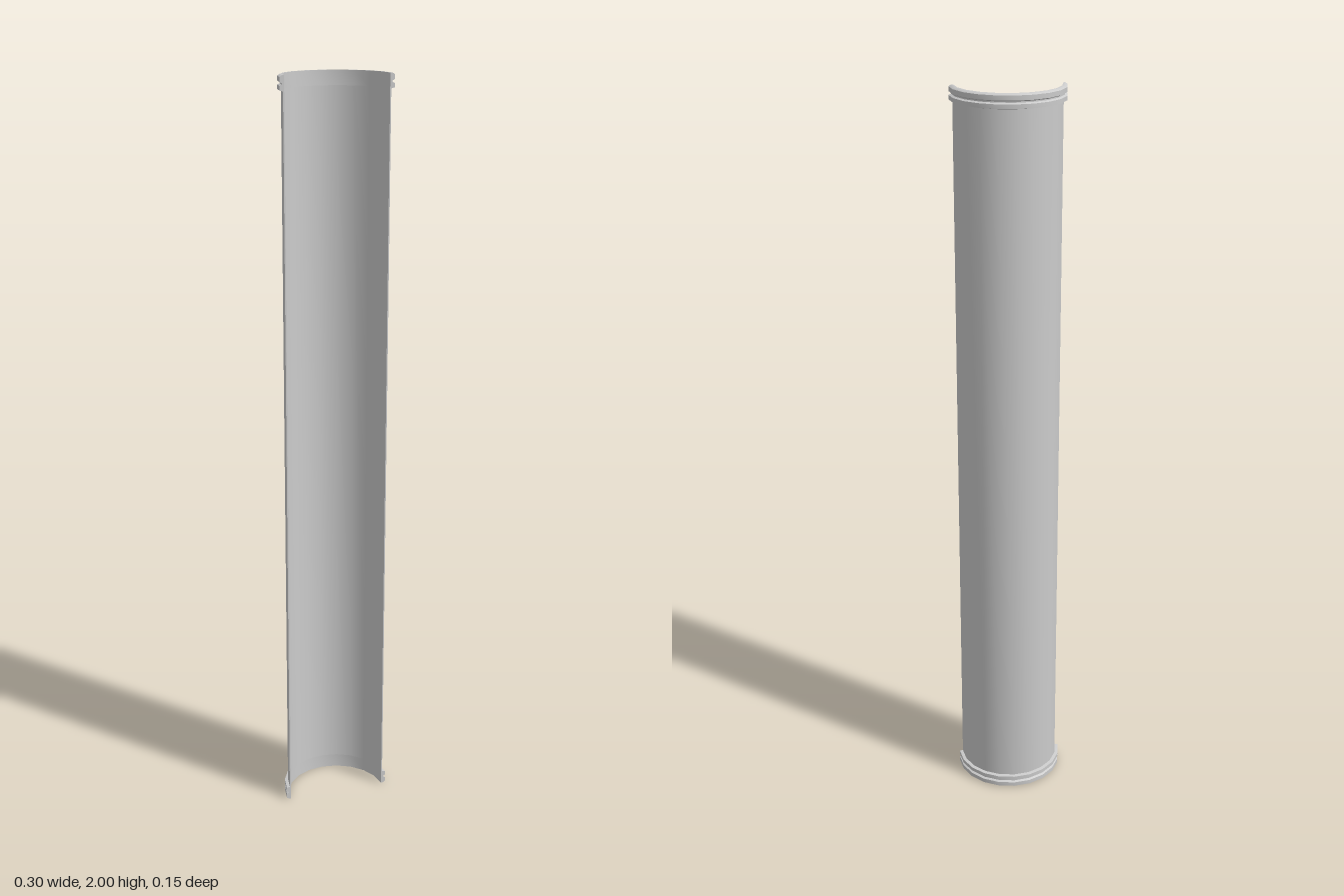
import * as THREE from 'three';
import { toCreasedNormals } from 'three/addons/utils/BufferGeometryUtils.js';

const INNER = 0.136, BODY = 0.139, GROOVE = 0.142, RIM = 0.148;
const HEIGHT = 2, SEGMENTS = 10, AXIS_Z = RIM / 2;

// Sweeps a closed [radius, y] section (counter-clockwise) around the back half circle and caps both cut ends
function halfRing(name, section, material) {
  const group = new THREE.Group();
  group.name = name;
  const points = section.map(([r, y]) => new THREE.Vector2(r, y));
  const sweep = new THREE.LatheGeometry([...points, points[0].clone()], SEGMENTS, Math.PI / 2, Math.PI);
  const shell = new THREE.Mesh(toCreasedNormals(sweep, 0.6), material);
  shell.name = name + 'Shell';
  group.add(shell);
  for (const side of [1, -1]) {
    const shape = new THREE.Shape(points.map((p) => new THREE.Vector2(p.x * side, p.y)));
    const cap = new THREE.Mesh(new THREE.ShapeGeometry(shape), material);
    cap.name = name + (side > 0 ? 'LeftEdge' : 'RightEdge');
    group.add(cap);
  }
  return group;
}

export function createModel() {
  const model = new THREE.Group();
  model.name = 'halfPipe';
  const material = new THREE.MeshStandardMaterial({ color: 0xcccccc, side: THREE.DoubleSide });

  // Thin half-round wall between the two collars
  const collarHeight = 0.038;
  const wall = halfRing('wall', [
    [INNER, collarHeight], [BODY, collarHeight],
    [BODY, HEIGHT - collarHeight], [INNER, HEIGHT - collarHeight],
  ], material);

  // Collar section: two bevelled beads with a groove between, measured from the pipe end
  const collar = [
    [INNER, 0], [GROOVE, 0], [RIM, 0.004], [RIM, 0.016], [GROOVE, 0.019],
    [GROOVE, 0.022], [RIM, 0.025], [RIM, 0.036], [BODY, collarHeight], [INNER, collarHeight],
  ];
  const bottomCollar = halfRing('bottomCollar', collar, material);
  const topCollar = halfRing('topCollar', collar.map(([r, y]) => [r, HEIGHT - y]).reverse(), material);

  model.add(wall, bottomCollar, topCollar);
  for (const part of model.children) part.position.z = AXIS_Z;
  return model;
}
